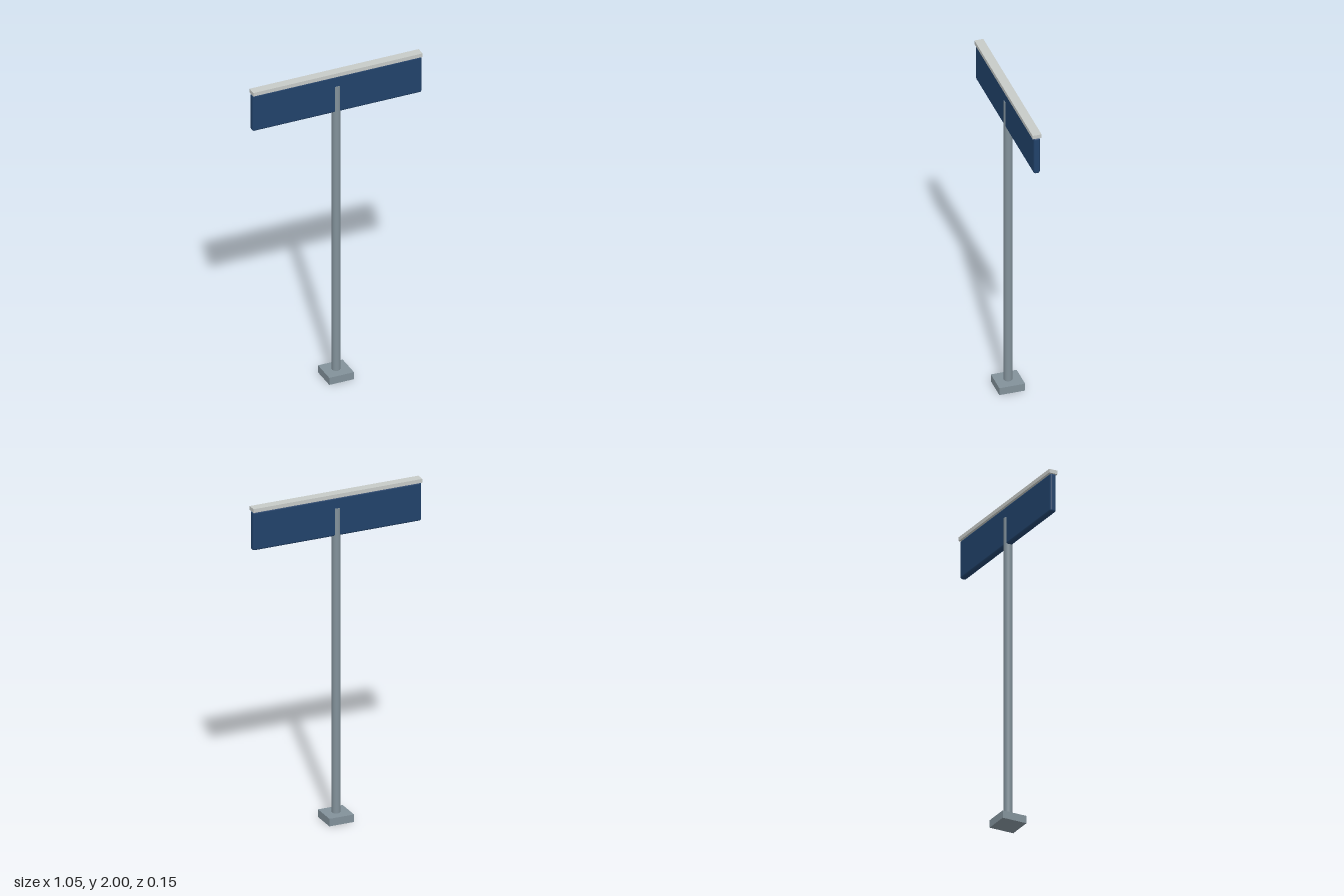
import * as THREE from 'three';
import { RoundedBoxGeometry } from 'three/addons/geometries/RoundedBoxGeometry.js';

export function createModel() {
  const model = new THREE.Group();
  model.name = 'streetSign';

  const material = (name, color) => {
    const m = new THREE.MeshStandardMaterial({ color });
    m.name = name;
    return m;
  };
  const steel = material('greySteel', 0x82919a);
  const navy = material('navyBlue', 0x21426a);
  const pale = material('paleGrey', 0xc6cac7);

  const add = (name, geometry, mat, y) => {
    const mesh = new THREE.Mesh(geometry, mat);
    mesh.name = name;
    mesh.position.y = y;
    model.add(mesh);
  };

  // Square foot on the ground
  add('base', new THREE.BoxGeometry(0.153, 0.046, 0.153), steel, 0.023);

  // Round post, running up through the sign
  add('post', new THREE.CylinderGeometry(0.0245, 0.0245, 1.87, 20), steel, 0.975);

  // Sign board with softened edges
  add('signPanel', new RoundedBoxGeometry(1.05, 0.236, 0.038, 3, 0.012), navy, 1.859);

  // Flat strip along the top of the board
  add('topRail', new THREE.BoxGeometry(1.05, 0.023, 0.053), pale, 1.9885);

  return model;
}
